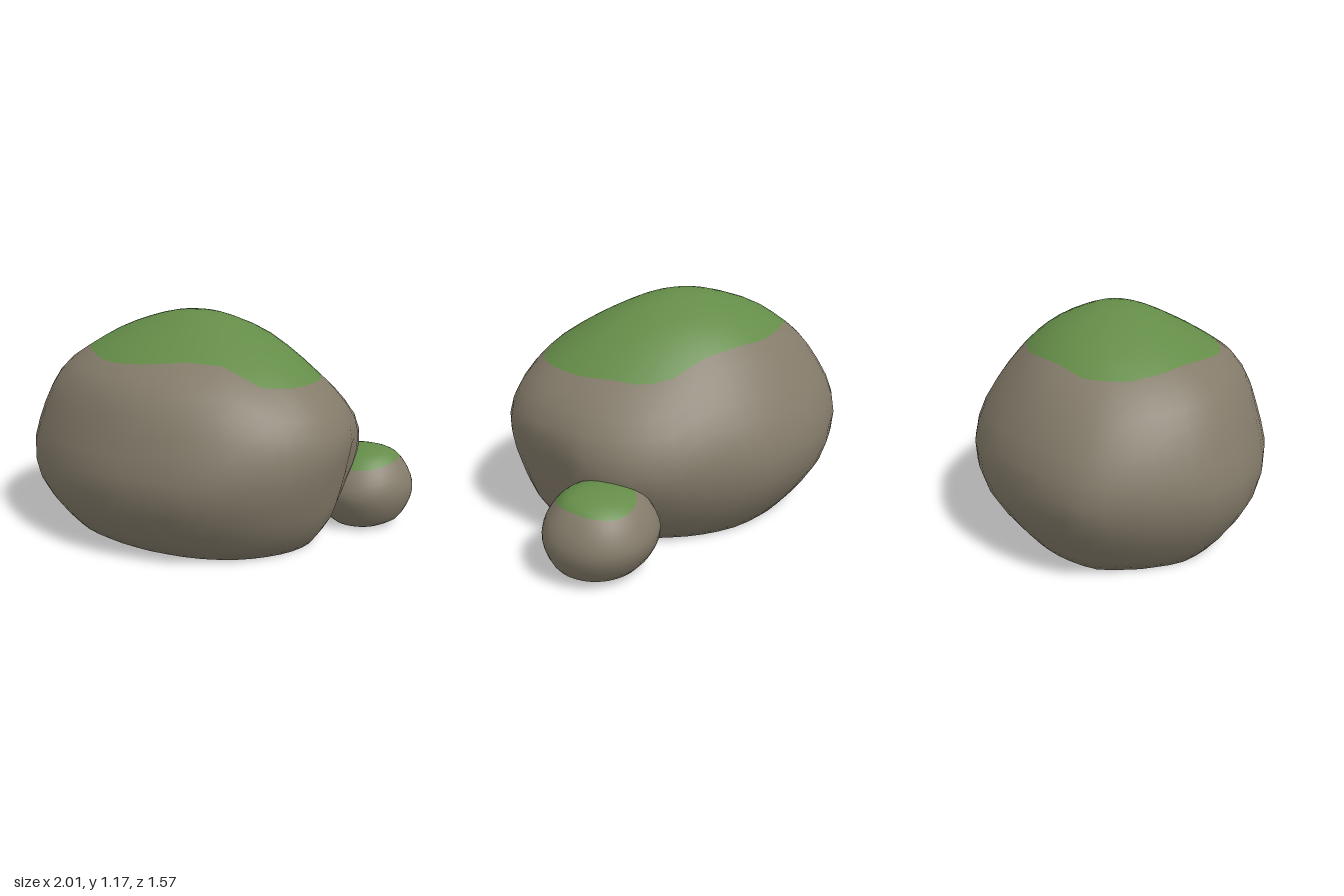
import * as THREE from 'three';
import { mergeVertices } from 'three/addons/utils/BufferGeometryUtils.js';

const stone = new THREE.MeshStandardMaterial({ color: 0x847b6a });
stone.name = 'stone';
const moss = new THREE.MeshStandardMaterial({ color: 0x648c48 });
moss.name = 'moss';

const SEGMENTS = 48;

// Reads a closed list of radii, evenly spaced around the circle, at an angle.
function radiusAt(list, angle) {
  const n = list.length;
  const f = ((angle / (Math.PI * 2)) % 1 + 1) % 1 * n;
  const i = Math.floor(f) % n;
  return THREE.MathUtils.lerp(list[i], list[(i + 1) % n], f - Math.floor(f));
}

// Blends the foot, middle and crown outlines by height (t = 0 to 2).
function bump([foot, middle, crown], angle, t) {
  const m = radiusAt(middle, angle);
  return t < 1
    ? THREE.MathUtils.lerp(radiusAt(foot, angle), m, t)
    : THREE.MathUtils.lerp(m, radiusAt(crown, angle), Math.min(t - 1, 1));
}

// Rock with a flat base. rings: [y, xMin, xMax, zMin, zMax] from the ground up,
// outlines: bumps around the rings at foot, middle and crown,
// mossRadii: plan edge of the moss around mossCentre.
function makeRock(name, { rings, apex, middleY, outlines, mossRadii, mossCentre }) {
  const stoneRows = 12, rows = stoneRows + 8;
  const [, fx0, fx1, fz0, fz1] = rings[0];
  const positions = [], index = [];

  for (let i = 0; i <= SEGMENTS; i++) {
    const a = (i % SEGMENTS) / SEGMENTS * Math.PI * 2;
    const points = rings.map(([y, x0, x1, z0, z1]) => {
      const r = bump(outlines, a, y / middleY);
      return new THREE.Vector3(
        (x0 + x1) / 2 + (x1 - x0) / 2 * r * Math.cos(a), y,
        (z0 + z1) / 2 + (z1 - z0) / 2 * r * Math.sin(a));
    });
    points.push(new THREE.Vector3(...apex));
    const rib = new THREE.CatmullRomCurve3(points);

    // Find where this rib passes under the moss edge
    let low = 0.4, high = 1;
    for (let k = 0; k < 20; k++) {
      const mid = (low + high) / 2, p = rib.getPoint(mid);
      const dx = p.x - mossCentre[0], dz = p.z - mossCentre[1];
      if (Math.hypot(dx, dz) > radiusAt(mossRadii, Math.atan2(dz, dx))) low = mid;
      else high = mid;
    }

    // Centre of the flat underside, then up the rib to the top
    positions.push((fx0 + fx1) / 2, 0, (fz0 + fz1) / 2);
    for (let j = 0; j < rows; j++) {
      const t = j < stoneRows ? low * j / (stoneRows - 1)
        : low + (1 - low) * (j - stoneRows + 1) / (rows - stoneRows);
      const p = rib.getPoint(Math.min(t, 1));
      positions.push(p.x, Math.max(p.y, 0), p.z);
    }
  }

  // Stone rows first, moss rows after, so each is one material group
  for (let j = 0; j < rows; j++) {
    for (let i = 0; i < SEGMENTS; i++) {
      const p = i * (rows + 1) + j, q = p + rows + 1;
      index.push(p, p + 1, q, q, p + 1, q + 1);
    }
  }
  let geometry = new THREE.BufferGeometry();
  geometry.setAttribute('position', new THREE.Float32BufferAttribute(positions, 3));
  geometry.setIndex(index);
  geometry = mergeVertices(geometry);
  geometry.computeVertexNormals();
  const split = stoneRows * SEGMENTS * 6;
  geometry.addGroup(0, split, 0);
  geometry.addGroup(split, index.length - split, 1);
  const rock = new THREE.Mesh(geometry, [stone, moss]);
  rock.name = name;
  return rock;
}

export function createModel() {
  const model = new THREE.Group();
  model.name = 'mossyRocks';

  model.add(makeRock('boulder', {
    rings: [
      [0, -0.77, 0.66, -0.55, 0.55],
      [0.13, -0.87, 0.75, -0.66, 0.67],
      [0.28, -0.96, 0.795, -0.75, 0.76],
      [0.44, -1, 0.83, -0.78, 0.785],
      [0.6, -0.96, 0.85, -0.745, 0.745],
      [0.75, -0.88, 0.78, -0.66, 0.695],
      [0.88, -0.78, 0.645, -0.565, 0.615],
      [0.98, -0.65, 0.5, -0.475, 0.475],
      [1.07, -0.5, 0.34, -0.36, 0.31],
      [1.135, -0.32, 0.17, -0.22, 0.17],
      [1.165, -0.19, 0.05, -0.12, 0.07],
    ],
    apex: [-0.06, 1.175, -0.02],
    middleY: 0.42,
    outlines: [
      [1, 1, 1, 1.01, 1.01, 1, 1, 1.01, 1.04, 1.06, 1.05, 1.01,
        1, 1.02, 1, 0.99, 0.99, 0.99, 1, 0.98, 0.95, 0.94, 0.95, 0.98],
      [1, 1.03, 1.04, 1.05, 1.045, 1.01, 1, 0.985, 0.99, 1.01, 1.01, 0.99,
        1, 1.03, 1, 0.98, 0.99, 0.99, 1, 1, 1.03, 1.06, 1.04, 0.98],
      [1, 1, 0.98, 0.98, 0.98, 0.99, 1, 1, 1.01, 1.02, 1.02, 1,
        1, 1.02, 1.03, 1.04, 1.03, 1.01, 1, 0.98, 0.96, 0.95, 0.96, 0.98],
    ],
    mossCentre: [0, 0],
    mossRadii: [0.665, 0.67, 0.63, 0.49, 0.46, 0.465, 0.5, 0.535, 0.57, 0.59, 0.62, 0.67,
      0.71, 0.7, 0.62, 0.575, 0.54, 0.5, 0.49, 0.49, 0.55, 0.59, 0.6, 0.64],
  }));

  const pebbleOutline = [1, 0.97, 0.98, 1, 1.02, 1.02, 1.06, 1.12, 1.03, 1.01, 1, 0.98];
  model.add(makeRock('smallRock', {
    rings: [
      [0, 0.58, 0.86, -0.62, -0.35],
      [0.04, 0.53, 0.93, -0.69, -0.3],
      [0.12, 0.49, 0.98, -0.755, -0.25],
      [0.2, 0.47, 1, -0.785, -0.225],
      [0.28, 0.48, 0.985, -0.765, -0.25],
      [0.36, 0.52, 0.935, -0.715, -0.305],
      [0.405, 0.57, 0.89, -0.645, -0.365],
      [0.428, 0.65, 0.82, -0.56, -0.43],
    ],
    apex: [0.735, 0.435, -0.49],
    middleY: 0.2,
    outlines: [pebbleOutline, pebbleOutline, pebbleOutline],
    mossCentre: [0.74, -0.5],
    mossRadii: [0.18, 0.18, 0.2, 0.21, 0.21, 0.19, 0.18, 0.19, 0.21, 0.22, 0.2, 0.18],
  }));

  return model;
}
